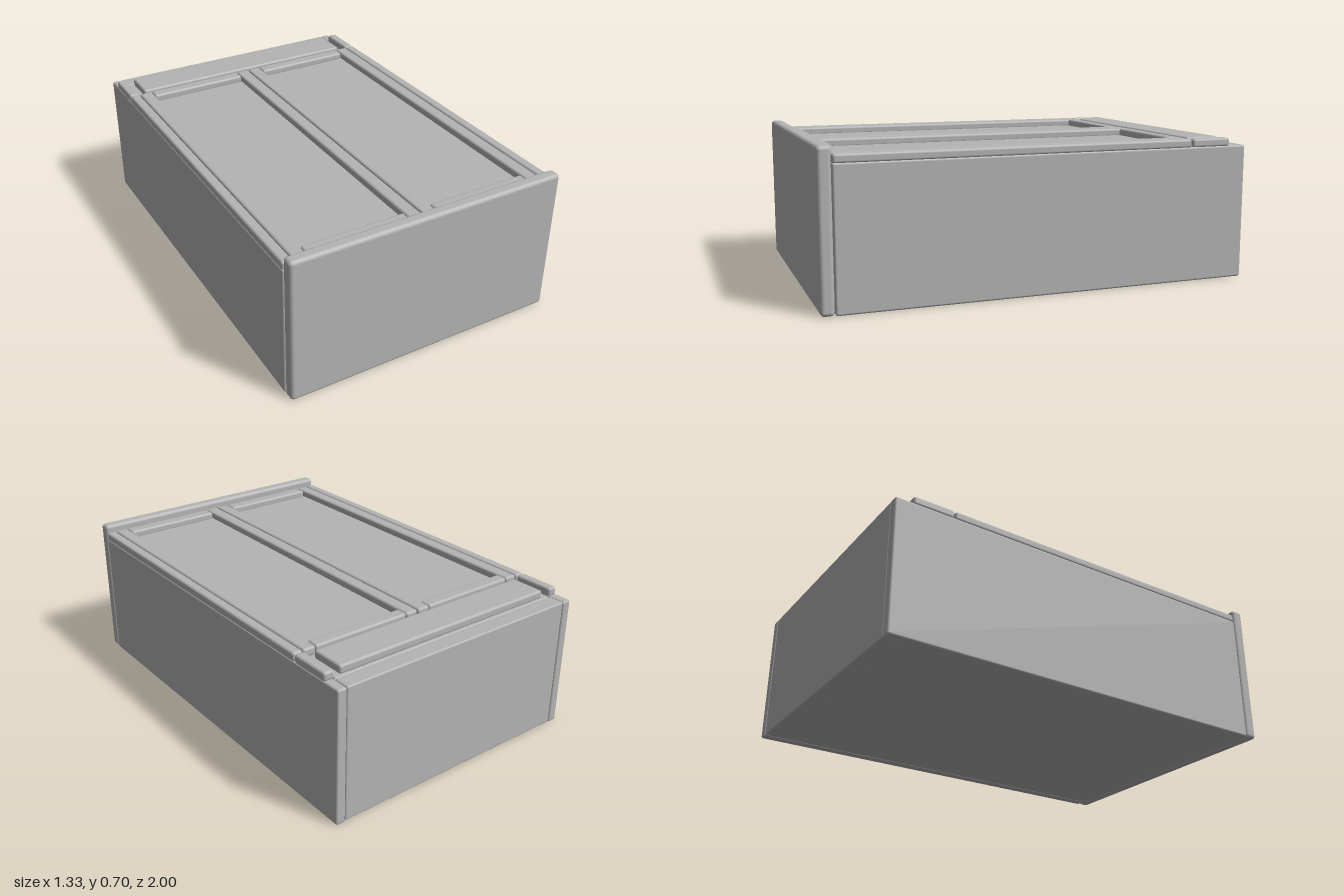
import * as THREE from 'three';
import { RoundedBoxGeometry } from 'three/addons/geometries/RoundedBoxGeometry.js';

export function createModel() {
  const model = new THREE.Group();
  model.name = 'cabinet';
  const grey = new THREE.MeshStandardMaterial({ color: 0xb4b4b4 });
  grey.name = 'plain grey';

  // Board between two corners, with softened edges
  function board(name, [x0, x1], [y0, y1], [z0, z1], radius, parent = model) {
    const size = [x1 - x0, y1 - y0, z1 - z0];
    const geometry = radius
      ? new RoundedBoxGeometry(...size, 3, radius)
      : new THREE.BoxGeometry(...size);
    const mesh = new THREE.Mesh(geometry, grey);
    mesh.name = name;
    mesh.position.set((x0 + x1) / 2, (y0 + y1) / 2, (z0 + z1) / 2);
    parent.add(mesh);
    return mesh;
  }

  // Carcass
  board('endPanel', [-0.665, 0.665], [0, 0.7], [0.94, 1], 0.018);
  board('backPanel', [-0.618, 0.618], [0.003, 0.63], [-0.998, -0.92], 0.008);
  board('core', [-0.62, 0.62], [0.006, 0.622], [-0.93, 0.945], 0);

  // Raised frame height
  const frameY = [0.625, 0.666];
  const doorZ = [-0.715, 0.936];
  const drawerZ = [-0.915, -0.72];

  for (const side of [-1, 1]) {
    const label = side > 0 ? 'left' : 'right';
    const span = (a, b) => (side > 0 ? [a, b] : [-b, -a]);

    board(label + 'SidePanel', span(0.618, 0.665), [0, 0.63], [-1, 0.938], 0.01);
    board(label + 'DoorTrim', span(0.617, 0.665), frameY, doorZ, 0.012);
    board(label + 'DrawerTrim', span(0.617, 0.665), frameY, drawerZ, 0.012);

    // Door: two stiles, two rails and a sunken panel
    const door = new THREE.Group();
    door.name = label + 'Door';
    model.add(door);
    board('outerStile', span(0.552, 0.615), frameY, doorZ, 0.012, door);
    board('innerStile', span(0.002, 0.066), frameY, doorZ, 0.012, door);
    board('upperRail', span(0.066, 0.552), frameY, [-0.715, -0.655], 0.012, door);
    board('lowerRail', span(0.066, 0.552), frameY, [0.87, 0.936], 0.012, door);
    board('doorPanel', span(0.05, 0.565), [0.615, 0.633], [-0.7, 0.92], 0, door);
  }

  // Drawer front with a raised field
  board('drawerBase', [-0.615, 0.615], [0.6, 0.63], [-0.918, -0.72], 0.008);
  board('drawerField', [-0.58, 0.58], frameY, [-0.905, -0.737], 0.012);

  return model;
}
